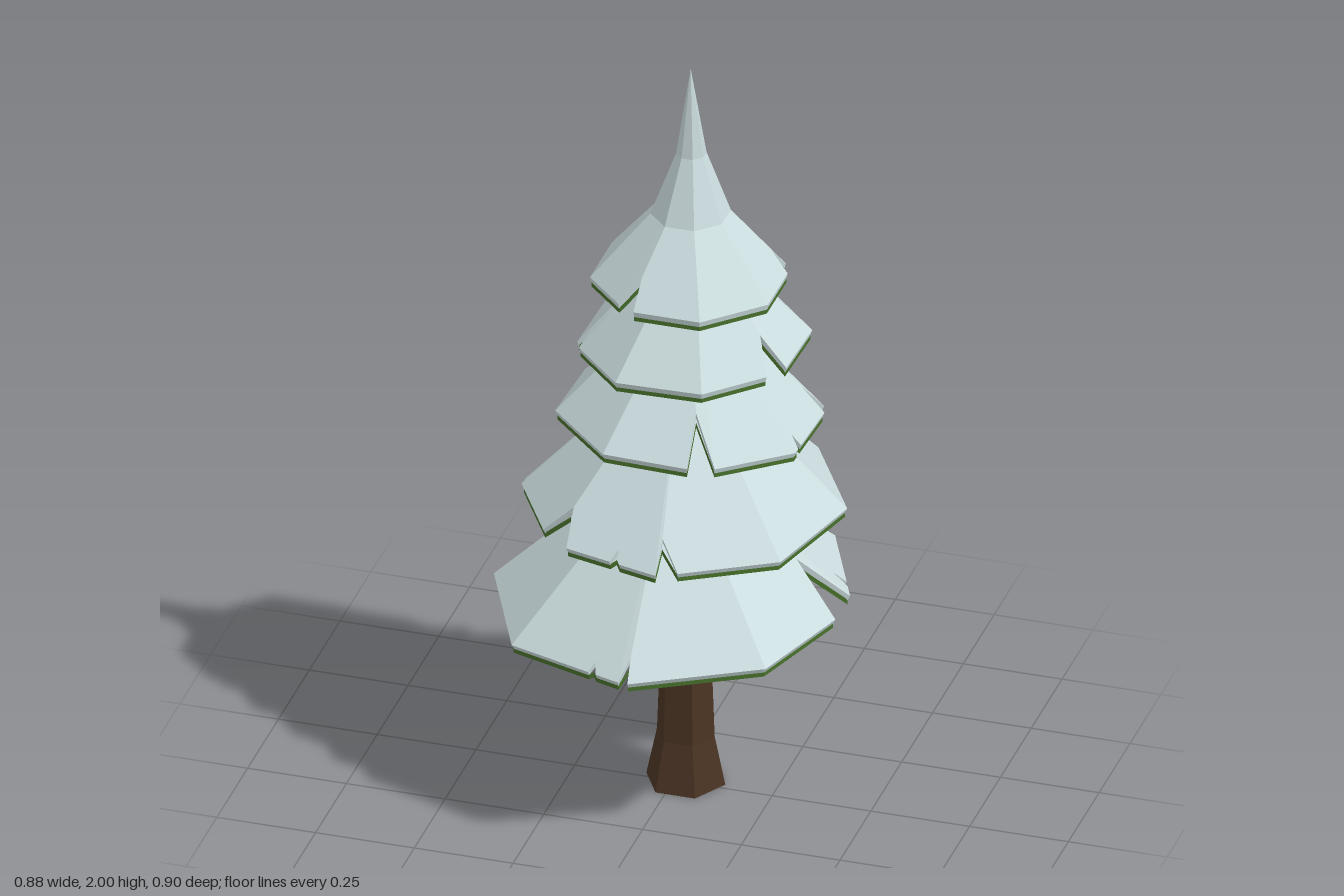
import * as THREE from 'three';

const mat = (name, color) => {
  const m = new THREE.MeshStandardMaterial({ color, flatShading: true });
  m.name = name;
  return m;
};

// Skin a list of closed rings (same point count), ordered inside-bottom to top
function loft(rings) {
  const pos = [];
  for (let k = 0; k + 1 < rings.length; k++) {
    const a = rings[k], b = rings[k + 1], n = a.length;
    for (let i = 0; i < n; i++) {
      const j = (i + 1) % n;
      for (const p of [a[i], b[i], a[j], a[j], b[i], b[j]]) pos.push(p.x, p.y, p.z);
    }
  }
  const g = new THREE.BufferGeometry();
  g.setAttribute('position', new THREE.Float32BufferAttribute(pos, 3));
  g.computeVertexNormals();
  return g;
}

// Point on a regular octagon's outline; angles in degrees from +x towards +z
function octagonPoint(angle, rot, r) {
  const u = (angle - rot) / 45, i = Math.floor(u), f = u - i;
  const corner = k => {
    const a = THREE.MathUtils.degToRad(rot + 45 * k);
    return new THREE.Vector3(Math.cos(a) * r, 0, Math.sin(a) * r);
  };
  return corner(i).lerp(corner(i + 1), f);
}

// Rim as [angle, scale] pairs: octagon corners, replaced by V cuts at notches
function rimOutline(rot, notches) {
  const rim = [];
  for (let i = 0; i < 8; i++) {
    const a = (rot + 45 * i + 360) % 360;
    const cut = notches.some(([s, , e]) => [a, a - 360].some(b => b > s - 0.5 && b < e + 0.5));
    if (!cut) rim.push([a, 1]);
  }
  for (const [s, tip, e, t] of notches) rim.push([s, 1], [tip, t], [e, 1]);
  return rim.sort((p, q) => p[0] - q[0]);
}

// Notches: [start angle, tip angle, end angle, tip scale]
const TIERS = [
  { c: [0, 0], r: 0.45, y: 0.53, apex: 0.95, rot: -2, tilt: [0.045, -0.035], notches: [
    [-9, 0, 7, 0.7], [-18, -16.5, -15, 0.92], [87, 87.6, 90.5, 0.89], [99.5, 101, 102.5, 0.95],
    [217.5, 224, 234, 0.82], [285, 287, 291, 0.9]] },
  { c: [0.03, 0.01], r: 0.4, y: 0.805, apex: 1.23, rot: -8, tilt: [0, 0], notches: [
    [74.5, 81.5, 83, 0.84], [98, 100, 102, 0.94], [120, 127, 137, 0.82],
    [171, 174, 174.7, 0.83], [256.5, 264.5, 273, 0.78]] },
  { c: [0.05, 0.015], r: 0.33, y: 1.05, apex: 1.42, rot: 23, tilt: [-0.02, 0.055], notches: [
    [15, 17, 19, 0.93], [62, 70, 75, 0.7], [199, 203, 207, 0.83],
    [288.5, 292, 306, 0.88], [335, 340, 342, 0.82]] },
  { c: [0.055, 0.01], r: 0.287, y: 1.25, apex: 1.57, rot: 24, tilt: [0.035, 0], notches: [
    [19, 24.5, 33, 0.75], [155, 160, 162, 0.86], [239, 252, 263, 0.84]] },
  { c: [0.045, 0.005], r: 0.244, y: 1.425, apex: 1.71, rot: 22.5, tilt: [0, 0], inner: 0.4, notches: [
    [108, 112, 122, 0.76], [201, 206, 210, 0.77], [331, 338, 344, 0.8]] },
];

function makeTier(d, index, snow, needles) {
  const rim = rimOutline(d.rot, d.notches);
  // One ring: scale rule applied to each rim point, dropped by a fixed amount
  const ring = (scale, drop) => rim.map(([a, t]) => {
    const s = scale(t);
    const p = octagonPoint(a, d.rot, d.r).multiplyScalar(s);
    p.y = d.apex + (d.y - d.apex) * s + d.tilt[0] * p.x + d.tilt[1] * p.z - drop;
    p.x += d.c[0];
    p.z += d.c[1];
    return p;
  });
  const g = new THREE.Group();
  g.name = 'branchTier' + (index + 1);
  const leafScale = t => Math.min(0.985, t + 0.02);

  // Snow sheet with a thick lip
  const top = new THREE.Mesh(loft([
    ring(t => t * 0.95, 0.022), ring(t => t * 0.985, 0.019), ring(t => t, 0), ring(() => d.inner || 0.1, 0),
  ]), snow);
  top.name = 'snowLayer';

  // Green boughs under the snow
  const under = new THREE.Mesh(loft([
    ring(() => 0.1, 0.035), ring(leafScale, 0.03), ring(leafScale, 0.016),
  ]), needles);
  under.name = 'needleLayer';
  g.add(top, under);
  return g;
}

export function createModel() {
  const snow = mat('snow', 0xcbdcde);
  const needles = mat('needles', 0x47702a);
  const bark = mat('bark', 0x4a3423);
  const tree = new THREE.Group();
  tree.name = 'snowyPine';

  // Hexagonal trunk with a flared foot
  const profile = [[0, 0], [0.1, 0], [0.073, 0.13], [0.058, 0.55], [0.03, 1.3]];
  const trunk = new THREE.Mesh(
    new THREE.LatheGeometry(profile.map(([r, y]) => new THREE.Vector2(r, y)), 6), bark);
  trunk.name = 'trunk';
  trunk.rotation.y = Math.PI / 6;
  trunk.position.set(0.026, 0, -0.018);
  tree.add(trunk);

  TIERS.forEach((d, i) => tree.add(makeTier(d, i, snow, needles)));

  // Slender tip, leaning slightly forward
  const tipRings = [[0.045, 1.595, 0.005, 0.098], [0.047, 1.76, 0.005, 0.037], [0.05, 2, 0.02, 0.0005]];
  const tip = new THREE.Mesh(loft(tipRings.map(([x, y, z, r]) =>
    Array.from({ length: 8 }, (_, i) =>
      octagonPoint(22.5 + 45 * i, 22.5, r).add(new THREE.Vector3(x, y, z))))), snow);
  tip.name = 'treeTip';
  tree.add(tip);
  return tree;
}
